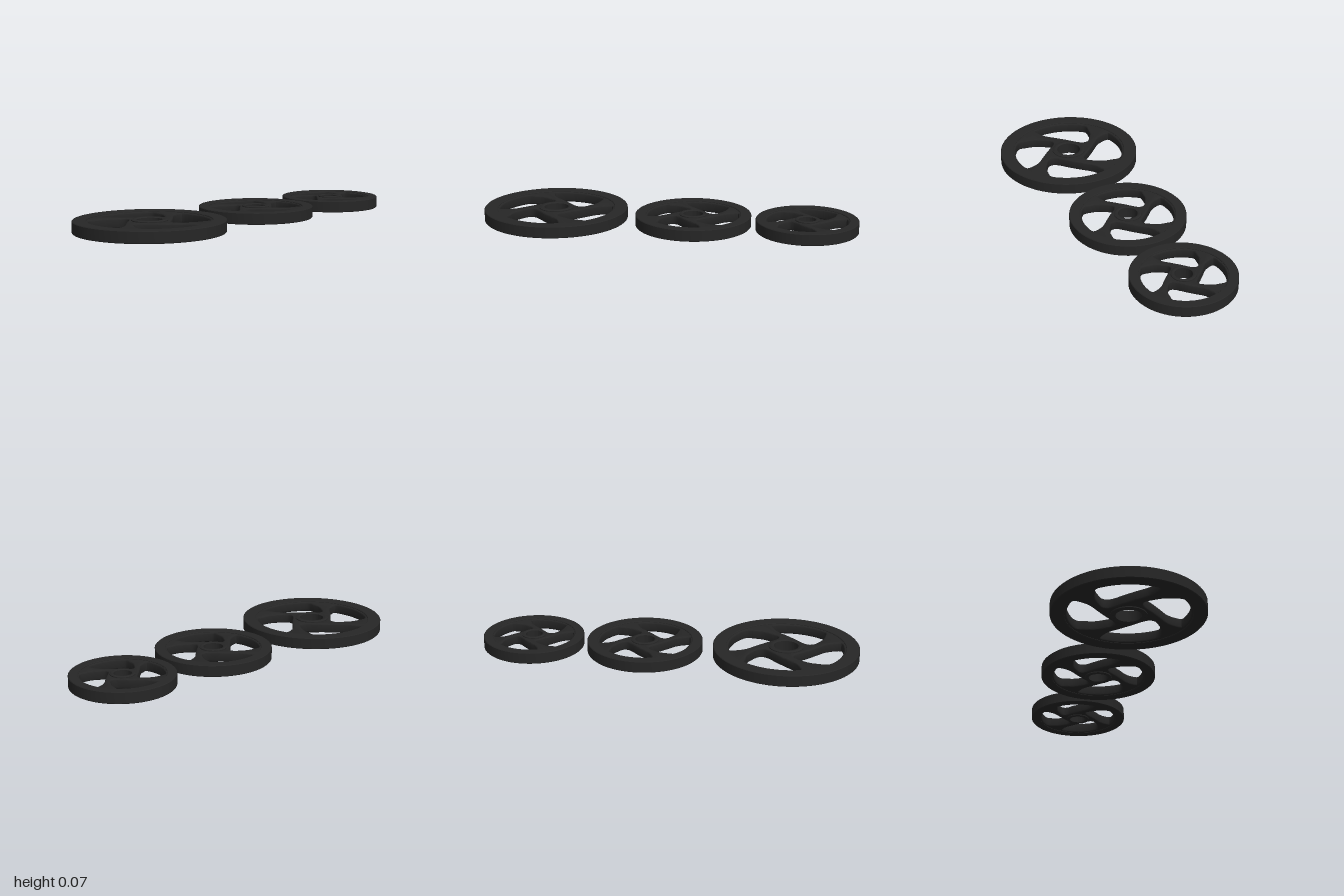
import * as THREE from 'three';
import { toCreasedNormals } from 'three/addons/utils/BufferGeometryUtils.js';

const material = new THREE.MeshStandardMaterial({ color: 0x262626 });

function addMesh(parent, name, geometry) {
  const mesh = new THREE.Mesh(toCreasedNormals(geometry, 0.6), material);
  mesh.name = name;
  parent.add(mesh);
}

// Ring with rectangular section and chamfered corners
function ring(inner, outer, y0, y1, cr, cy) {
  const p = [
    [inner + cr, y0], [outer - cr, y0], [outer, y0 + cy], [outer, y1 - cy],
    [outer - cr, y1], [inner + cr, y1], [inner, y1 - cy], [inner, y0 + cy], [inner + cr, y0],
  ];
  return new THREE.LatheGeometry(p.map(([r, y]) => new THREE.Vector2(r, y)), 96);
}

// One swept window of the web, for a wheel of radius 1
const windowCurve = new THREE.CatmullRomCurve3([
  [-0.215, -0.75], [-0.15, -0.774], [0.03, -0.788], [0.2, -0.762], [0.37, -0.697], [0.5, -0.61],
  [0.535, -0.56], [0.525, -0.45], [0.505, -0.34], [0.44, -0.22], [0.365, -0.125],
  [0.3, -0.115], [0.24, -0.15], [0.11, -0.29], [-0.02, -0.42], [-0.14, -0.54], [-0.2, -0.66],
].map(([x, y]) => new THREE.Vector3(x, y, 0)), true);

// Plate with four pinwheel windows, leaving the slanted spokes
function web(R, y0, y1) {
  const bevel = 0.007;
  const shape = new THREE.Shape().absarc(0, 0, R * 0.9, 0, Math.PI * 2);
  shape.holes.push(new THREE.Path().absarc(0, 0, R * 0.2, 0, Math.PI * 2, true));
  const outline = windowCurve.getSpacedPoints(72).slice(0, -1);
  for (let i = 0; i < 4; i++) {
    const origin = new THREE.Vector2();
    shape.holes.push(new THREE.Path(outline.map((p) =>
      new THREE.Vector2(p.x * R, p.y * R).rotateAround(origin, i * Math.PI / 2))));
  }
  const g = new THREE.ExtrudeGeometry(shape, {
    depth: y1 - y0 - 2 * bevel, bevelThickness: bevel, bevelSize: bevel,
    bevelOffset: -bevel, bevelSegments: 3, curveSegments: 64,
  });
  return g.rotateX(Math.PI / 2).translate(0, y1 - bevel, 0);
}

function createWheel(name, R, z) {
  const wheel = new THREE.Group();
  wheel.name = name;
  wheel.position.z = z;
  addMesh(wheel, 'rim', ring(R * 0.815, R, 0.004, 0.065, 0.003, 0.003));
  addMesh(wheel, 'spokes', web(R, 0.009, 0.06));
  addMesh(wheel, 'hub', ring(R * 0.168, R * 0.238, 0, 0.068, 0.006, 0.004));
  return wheel;
}

export function createModel() {
  const model = new THREE.Group();
  model.name = 'wheelSet';
  model.add(
    createWheel('largeWheel', 0.384, 0.616),
    createWheel('mediumWheel', 0.306, -0.131),
    createWheel('smallWheel', 0.268, -0.732),
  );
  return model;
}
